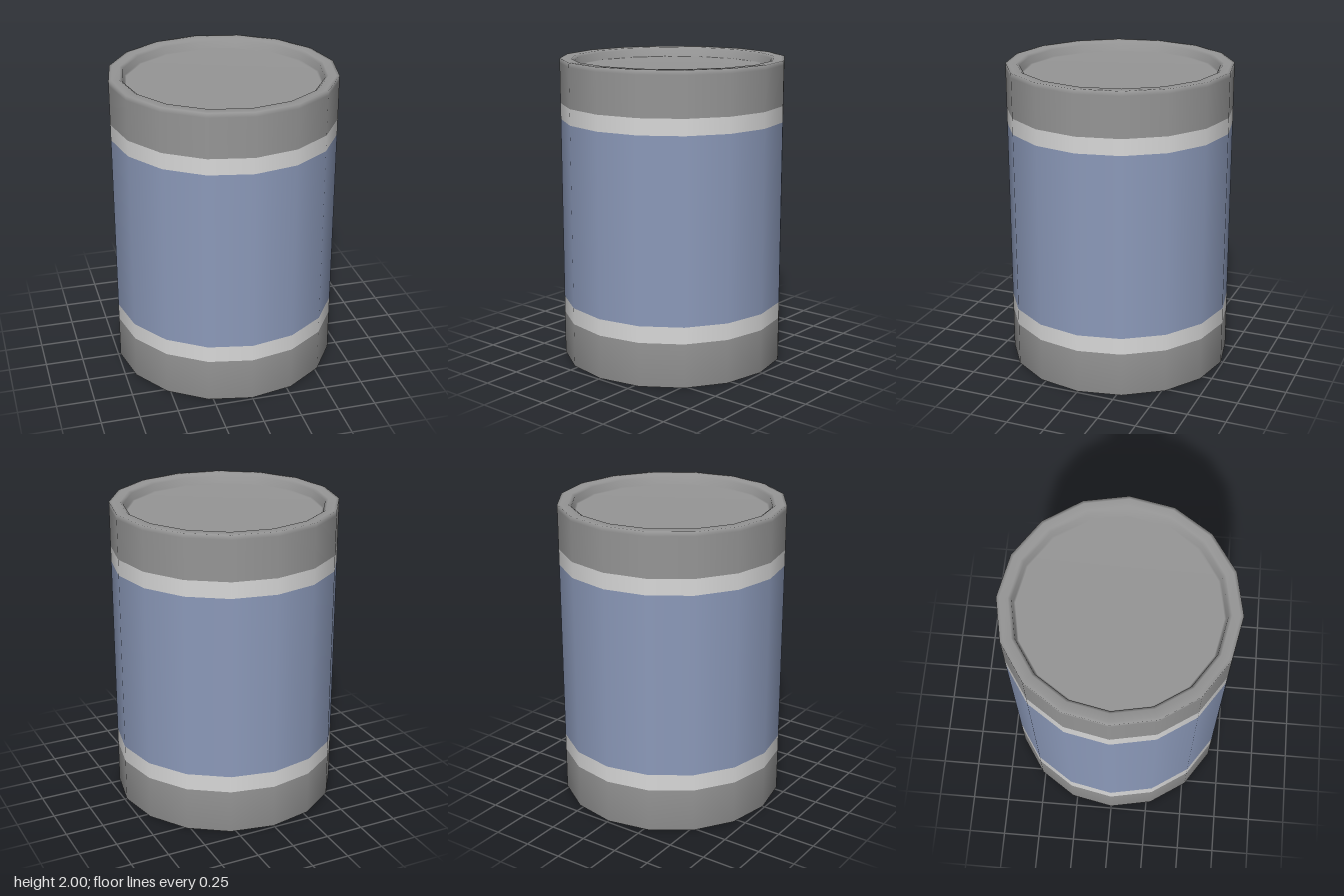
import * as THREE from 'three';

const SIDES = 16;
const R = 0.735;

// Spins a [radius, height] profile around y, with smooth normals
function lathe(name, points, material) {
  const profile = points.map(([r, y]) => new THREE.Vector2(r, y));
  const mesh = new THREE.Mesh(new THREE.LatheGeometry(profile, SIDES), material);
  mesh.name = name;
  return mesh;
}

export function createModel() {
  const metal = new THREE.MeshStandardMaterial({ color: 0x969696 });
  metal.name = 'grey metal';
  const pale = new THREE.MeshStandardMaterial({ color: 0xd9d9d9 });
  pale.name = 'pale grey';
  const blue = new THREE.MeshStandardMaterial({ color: 0x8c9aba });
  blue.name = 'dusty blue';

  const can = new THREE.Group();
  can.name = 'can';

  // Base: recessed floor, rolled rim and soft lower wall
  can.add(lathe('base', [
    [0, 0.055], [0.62, 0.055], [0.64, 0.05], [0.67, 0.005], [0.69, 0], [R, 0], [R, 0.29],
  ], metal));

  // Painted bands around the wall
  const band = (name, y0, y1, material) =>
    can.add(lathe(name, [[R, y0], [R, y1]], material));
  band('lowerStripe', 0.29, 0.4, pale);
  band('label', 0.4, 1.605, blue);
  band('upperStripe', 1.605, 1.71, pale);

  // Top: wall, rim and recessed lid
  can.add(lathe('top', [
    [R, 1.71], [R, 1.97], [R, 2], [0.715, 2], [0.665, 1.998], [0.645, 1.985],
    [0.637, 1.94], [0.625, 1.935], [0, 1.935],
  ], metal));

  return can;
}
